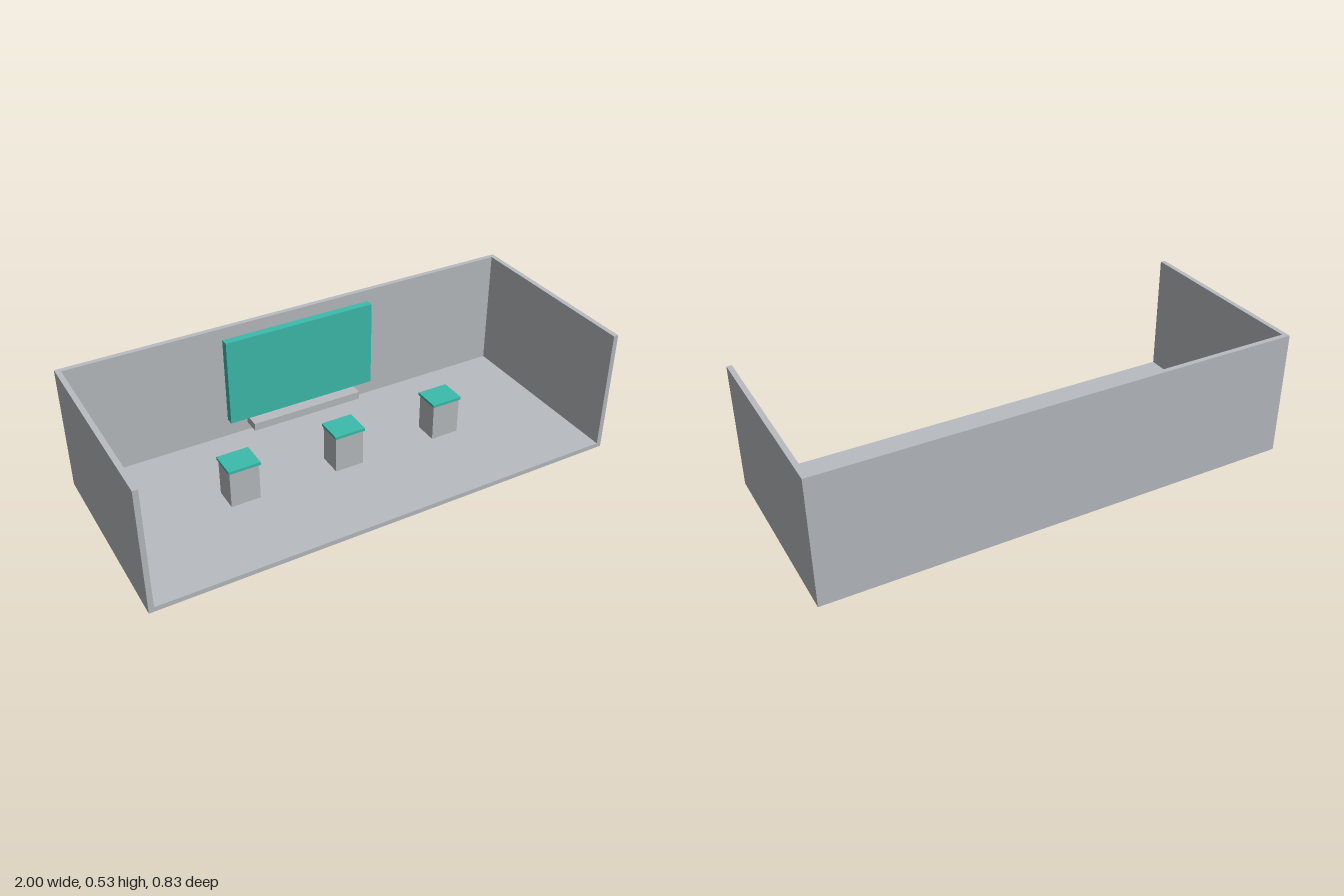
import * as THREE from 'three';

export function createModel() {
  const model = new THREE.Group();
  const grey = new THREE.MeshStandardMaterial({ name: 'light grey', color: 0xb8bcc0 });
  const teal = new THREE.MeshStandardMaterial({ name: 'teal', color: 0x3cbcac });

  // Box given by its minimum and maximum corners
  const box = (name, material, [x0, y0, z0], [x1, y1, z1], parent = model) => {
    const mesh = new THREE.Mesh(new THREE.BoxGeometry(x1 - x0, y1 - y0, z1 - z0), material);
    mesh.position.set((x0 + x1) / 2, (y0 + y1) / 2, (z0 + z1) / 2);
    mesh.name = name;
    parent.add(mesh);
  };

  const W = 1, D = 0.415, H = 0.533, T = 0.021, F = 0.02;

  // Room shell, open at the front and top
  box('floor', grey, [-W, 0, -D], [W, F, D]);
  box('backWall', grey, [-W + T, F, -D], [W - T, H, -D + T]);
  box('leftWall', grey, [W - T, F, -D], [W, H, D]);
  box('rightWall', grey, [-W, F, -D], [-W + T, H, D]);

  // Wall display with a shelf below it
  box('screen', teal, [-0.335, 0.104, -0.386], [0.335, 0.486, -0.352]);
  box('shelf', grey, [-0.25, 0.067, -0.378], [0.25, 0.101, -0.305]);

  // Row of three pedestals with overhanging caps
  for (const x of [-0.46, 0, 0.46]) {
    const pedestal = new THREE.Group();
    pedestal.name = 'pedestal';
    pedestal.position.x = x;
    box('pedestalBody', grey, [-0.062, F, -0.051], [0.062, 0.18, 0.051], pedestal);
    box('pedestalCap', teal, [-0.067, 0.18, -0.057], [0.067, 0.192, 0.057], pedestal);
    model.add(pedestal);
  }
  return model;
}
